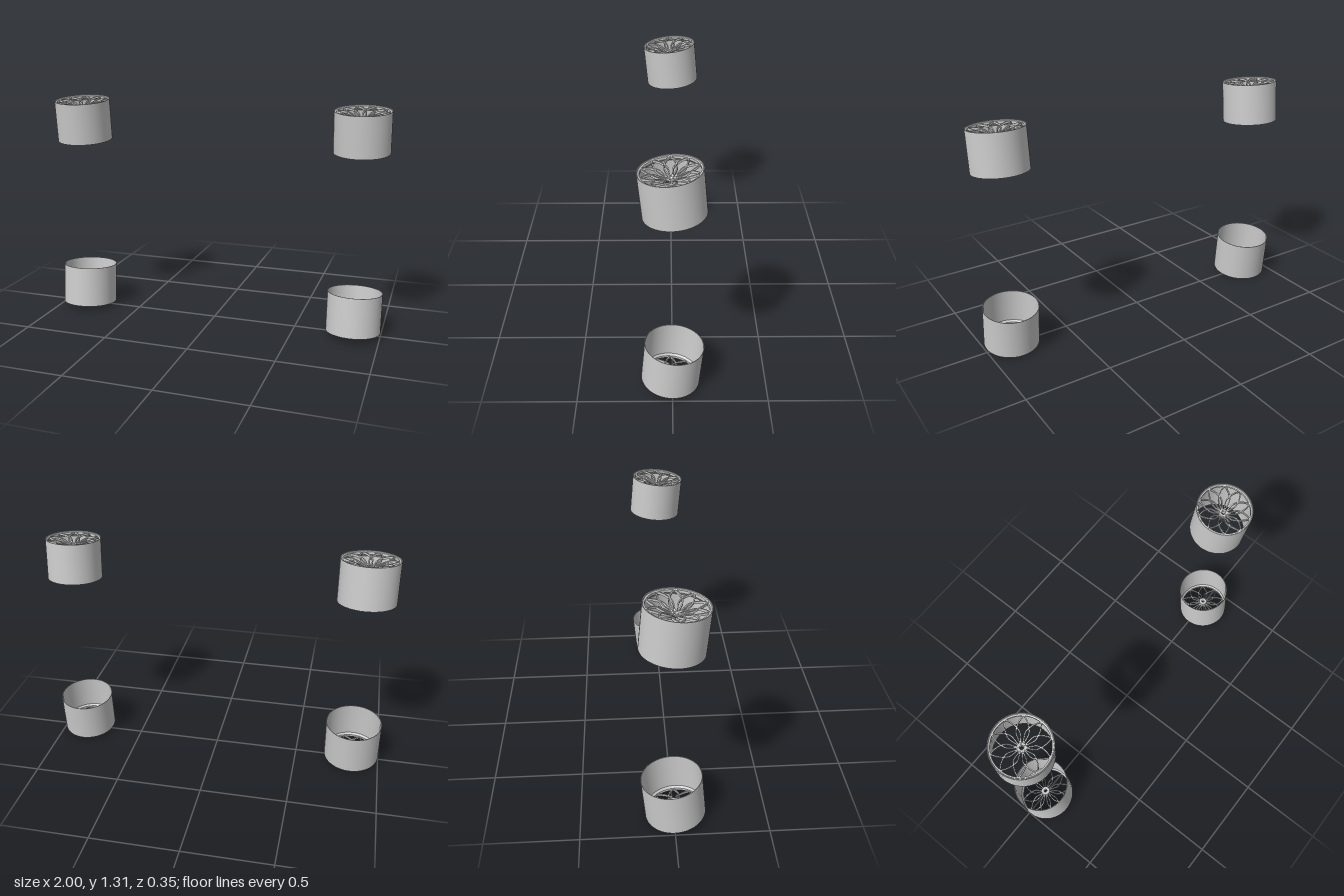
import * as THREE from 'three';
import { toCreasedNormals } from 'three/addons/utils/BufferGeometryUtils.js';

const R = 0.164, H = 0.243, SPOKES = 10, TILT = 0.093;
const metal = new THREE.MeshStandardMaterial({ color: 0xcccccc });

function mesh(name, geometry, parent) {
  const m = new THREE.Mesh(geometry, metal);
  m.name = name;
  parent.add(m);
  return m;
}

function lathe(points, segments) {
  const profile = points.map(([r, y]) => new THREE.Vector2(r, y));
  return toCreasedNormals(new THREE.LatheGeometry(profile, segments), 0.5);
}

// Rectangular bar swept along a curve, kept upright
function barGeometry(curve, steps, width, depth) {
  const pos = [], index = [];
  const up = new THREE.Vector3(0, 1, 0);
  for (let i = 0; i <= steps; i++) {
    const p = curve.getPoint(i / steps);
    const side = curve.getTangent(i / steps).cross(up).normalize().multiplyScalar(width / 2);
    for (const [s, y] of [[-1, 0], [1, 0], [1, -depth], [-1, -depth]]) {
      pos.push(p.x + side.x * s, p.y + y, p.z + side.z * s);
    }
    if (i === steps) break;
    for (let k = 0; k < 4; k++) {
      const a = i * 4 + k, b = i * 4 + (k + 1) % 4;
      index.push(a, b, b + 4, a, b + 4, a + 4);
    }
  }
  const e = steps * 4;
  index.push(0, 2, 1, 0, 3, 2, e, e + 1, e + 2, e, e + 2, e + 3);
  const g = new THREE.BufferGeometry();
  g.setAttribute('position', new THREE.Float32BufferAttribute(pos, 3));
  g.setIndex(index);
  return toCreasedNormals(g, 0.6);
}

// One strand: bows out as a petal, crosses its twin, then forks to the rim
function strandGeometry(sign) {
  const top = H / 2;
  const path = [
    [0.022, 4, -0.046], [0.05, 8, -0.036], [0.075, 7, -0.024],
    [0.097, 0, -0.015], [0.125, -9, -0.008], [0.154, -18, -0.004],
  ];
  const points = path.map(([r, deg, y]) => {
    const a = THREE.MathUtils.degToRad(deg * sign);
    return new THREE.Vector3(r * Math.sin(a), top + y, r * Math.cos(a));
  });
  return barGeometry(new THREE.CatmullRomCurve3(points), 14, 0.006, 0.012);
}

function createWheel() {
  const wheel = new THREE.Group();
  const top = H / 2;

  // Thin open barrel with a stepped lip on the spoked side
  mesh('barrel', lathe([
    [R - 0.003, -top], [R, -top], [R, 0], [R, top], [R - 0.004, top],
    [R - 0.006, top - 0.004], [R - 0.014, top - 0.006], [R - 0.014, top - 0.02],
    [R - 0.005, top - 0.032], [R - 0.003, 0], [R - 0.003, -top],
  ], 64), wheel);

  // Mesh spokes
  const strands = [strandGeometry(1), strandGeometry(-1)];
  for (let i = 0; i < SPOKES; i++) {
    for (const g of strands) {
      mesh('spoke', g, wheel).rotation.y = (i / SPOKES) * Math.PI * 2;
    }
  }

  // Recessed hub with a centre bore
  const y = top - 0.046;
  mesh('hub', lathe([
    [0.009, y - 0.025], [0.026, y - 0.025], [0.028, y - 0.004], [0.024, y + 0.002],
    [0.012, y + 0.002], [0.009, y - 0.003], [0.009, y - 0.025],
  ], 32), wheel);

  // Wheel bolts
  const bolt = new THREE.CylinderGeometry(0.003, 0.003, 0.006, 6);
  for (let i = 0; i < 5; i++) {
    const a = (i / 5) * Math.PI * 2;
    mesh('bolt', bolt, wheel).position.set(0.018 * Math.sin(a), y + 0.003, 0.018 * Math.cos(a));
  }
  return wheel;
}

export function createModel() {
  const model = new THREE.Group();
  model.name = 'wheelSet';
  // Larger pair on the right, smaller pair on the left; the lower ones face down
  for (const [side, x, scale] of [['right', -0.836, 1], ['left', 0.843, 0.957]]) {
    for (const [level, y, tilt] of [['upper', 1.178, TILT], ['lower', 0.138, Math.PI - TILT]]) {
      const wheel = createWheel();
      wheel.name = `${level} ${side} wheel`;
      wheel.position.set(x, y, 0);
      wheel.rotation.x = tilt;
      wheel.scale.setScalar(scale);
      model.add(wheel);
    }
  }
  return model;
}
